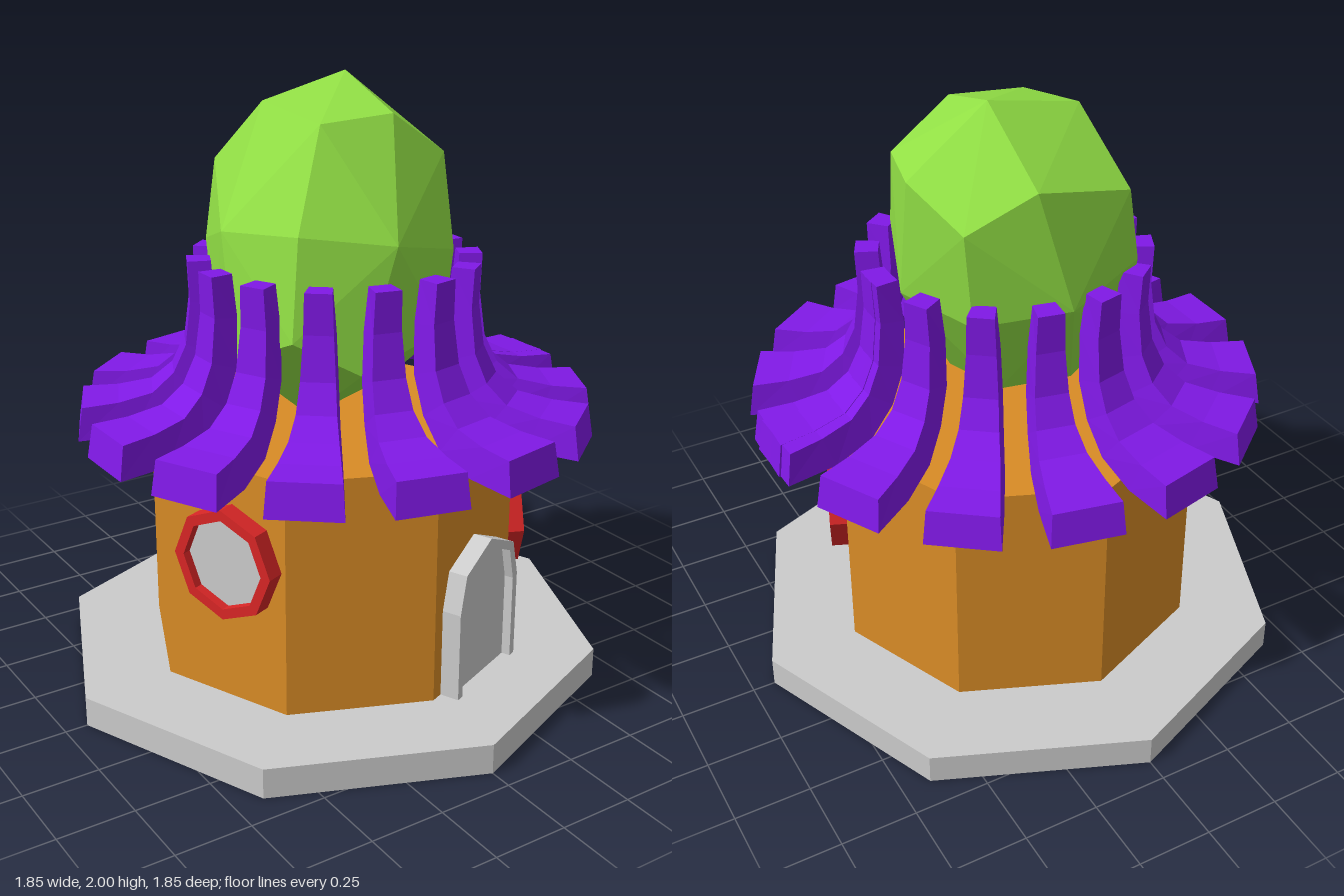
import * as THREE from 'three';
import { ConvexGeometry } from 'three/addons/geometries/ConvexGeometry.js';

const paint = (color) =>
  new THREE.MeshStandardMaterial({ color, flatShading: true, side: THREE.DoubleSide });

const WALL_RADIUS = 0.62;
const WALL_DISTANCE = WALL_RADIUS * Math.cos(Math.PI / 8);

function addMesh(parent, name, geometry, material) {
  const mesh = new THREE.Mesh(geometry, material);
  mesh.name = name;
  parent.add(mesh);
  return mesh;
}

// Group lying on a wall facet: local x runs along the wall, z points outward
function wallMount(name, angle, along, y) {
  const mount = new THREE.Group();
  mount.name = name;
  mount.rotation.y = angle;
  mount.position.set(
    Math.sin(angle) * WALL_DISTANCE + Math.cos(angle) * along, y,
    Math.cos(angle) * WALL_DISTANCE - Math.sin(angle) * along);
  return mount;
}

// Raised frame around a recessed panel
function framedPanel(mount, name, outer, inner, depth, recess, frameMaterial, panelMaterial) {
  const frame = new THREE.Shape(outer);
  frame.holes.push(new THREE.Path(inner));
  addMesh(mount, name + 'Frame',
    new THREE.ExtrudeGeometry(frame, { depth, bevelEnabled: false }), frameMaterial);
  addMesh(mount, name + 'Panel',
    new THREE.ExtrudeGeometry(new THREE.Shape(inner), { depth: depth - recess, bevelEnabled: false }),
    panelMaterial);
  return mount;
}

const octagon = (r) => Array.from({ length: 8 }, (_, i) =>
  new THREE.Vector2(r * Math.sin(i * Math.PI / 4), r * Math.cos(i * Math.PI / 4)));

const arch = (w, shoulder, top) => [
  [-w, 0], [w, 0], [w, shoulder], [w * 0.82, shoulder + (top - shoulder) * 0.64],
  [0, top], [-w * 0.82, shoulder + (top - shoulder) * 0.64], [-w, shoulder],
].map(([x, y]) => new THREE.Vector2(x, y));

// Curved petal lofted through four-cornered sections
function petalGeometry() {
  // outer radius, outer y, inner radius, inner y, outer half width, inner half width
  const sections = [
    [0.475, 1.44, 0.400, 1.44, 0.042, 0.036],
    [0.470, 1.31, 0.390, 1.30, 0.046, 0.046],
    [0.488, 1.17, 0.400, 1.14, 0.054, 0.054],
    [0.530, 1.08, 0.450, 1.02, 0.062, 0.064],
    [0.600, 1.02, 0.535, 0.93, 0.076, 0.080],
    [0.710, 0.997, 0.670, 0.885, 0.093, 0.098],
    [0.825, 0.99, 0.842, 0.88, 0.109, 0.117],
  ];
  const positions = [];
  const index = [];
  sections.forEach(([ro, yo, ri, yi, wo, wi], i) => {
    positions.push(-wo, yo, ro, wo, yo, ro, wi, yi, ri, -wi, yi, ri);
    if (i === 0) return;
    for (let j = 0; j < 4; j++) {
      const a = (i - 1) * 4 + j, b = (i - 1) * 4 + (j + 1) % 4;
      index.push(a, a + 4, b + 4, a, b + 4, b);
    }
  });
  const e = (sections.length - 1) * 4;
  index.push(0, 1, 2, 0, 2, 3, e, e + 2, e + 1, e, e + 3, e + 2);
  const geometry = new THREE.BufferGeometry();
  geometry.setAttribute('position', new THREE.Float32BufferAttribute(positions, 3));
  geometry.setIndex(index);
  const flat = geometry.toNonIndexed();
  flat.computeVertexNormals();
  return flat;
}

// Faceted dome: half of its corners, the rest mirrored through its centre
function domeGeometry() {
  const centreY = 1.47;
  const half = [
    [0.14, 2.0, -0.11], [-0.18, 1.93, -0.095], [-0.14, 1.89, 0.175], [0.11, 1.905, 0.2],
    [0.39, 1.78, -0.07], [0.32, 1.765, 0.185], [0.11, 1.8, -0.36], [0.315, 1.68, -0.29],
    [0, 1.54, 0.39], [0.282, 1.475, 0.298], [-0.28, 1.58, 0.27], [-0.39, 1.56, 0],
    [-0.23, 1.72, -0.32],
  ];
  return new ConvexGeometry(half.flatMap(([x, y, z]) => [
    new THREE.Vector3(x, y, z), new THREE.Vector3(-x, 2 * centreY - y, -z)]));
}

export function createModel() {
  const model = new THREE.Group();
  model.name = 'flowerHut';
  const grey = paint(0xcccccc);
  const orange = paint(0xd98c26);
  const purple = paint(0x8019e6);
  const green = paint(0x92e045);
  const red = paint(0xd92626);

  // Base slab and walls
  addMesh(model, 'base', new THREE.CylinderGeometry(0.925, 0.925, 0.1, 8), grey).position.y = 0.05;
  addMesh(model, 'walls',
    new THREE.CylinderGeometry(WALL_RADIUS, WALL_RADIUS, 0.79, 8), orange).position.y = 0.495;

  // Dome
  addMesh(model, 'dome', domeGeometry(), green);

  // Ring of petals; the first and last overlap
  const petals = new THREE.Group();
  petals.name = 'petals';
  petals.position.set(0.01, 0, 0.027);
  const petal = petalGeometry();
  for (let i = 0; i < 15; i++) {
    const angle = 180 + 25.42 * (i - 7);
    addMesh(petals, 'petal', petal, purple).rotation.y = THREE.MathUtils.degToRad(angle + 90);
  }
  model.add(petals);

  // Door
  model.add(framedPanel(wallMount('door', Math.PI / 8, -0.005, 0.1), 'door',
    arch(0.188, 0.3, 0.495), arch(0.16, 0.29, 0.465), 0.065, 0.03, grey, grey));

  // Round windows either side, at different heights
  for (const [side, y] of [[1, 0.5], [-1, 0.588]]) {
    const name = side > 0 ? 'leftWindow' : 'rightWindow';
    model.add(framedPanel(wallMount(name, side * Math.PI * 3 / 8, -side * 0.038, y), name,
      octagon(0.185), octagon(0.15), 0.06, 0.03, red, grey));
  }
  return model;
}
